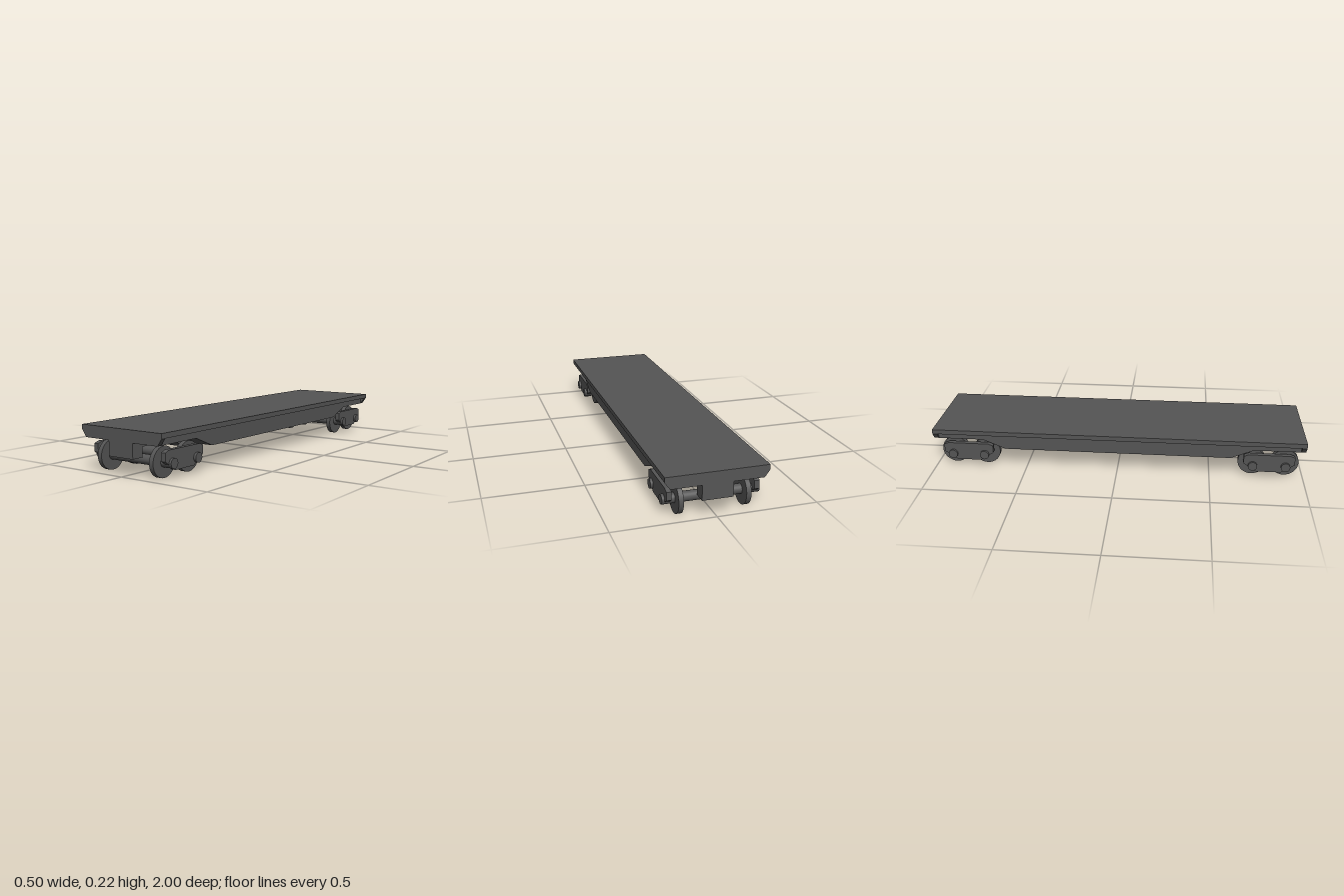
import * as THREE from 'three';

const steel = new THREE.MeshStandardMaterial({ color: 0x555555 });
steel.name = 'darkSteel';

function add(parent, name, geometry, x = 0, y = 0, z = 0) {
  const mesh = new THREE.Mesh(geometry, steel);
  mesh.name = name;
  mesh.position.set(x, y, z);
  parent.add(mesh);
  return mesh;
}

// Extrudes half an outline, mirrored about the vertical axis, and centres its depth
function symmetricPlate(half, depth) {
  const mirrored = half.map(([u, v]) => [-u, v]).reverse();
  const shape = new THREE.Shape([...half, ...mirrored].map(([u, v]) => new THREE.Vector2(u, v)));
  return new THREE.ExtrudeGeometry(shape, { depth, bevelEnabled: false }).translate(0, 0, -depth / 2);
}

// Same, with the outline lying along the length of the wagon
const lengthwise = (half, width) => symmetricPlate(half, width).rotateY(Math.PI / 2);

function createBogie() {
  const bogie = new THREE.Group();
  const frame = lengthwise(
    [[0.065, 0.04], [0.135, 0.087], [0.135, 0.128], [0.11, 0.138]], 0.025);
  const wheel = new THREE.CylinderGeometry(0.075, 0.075, 0.024, 32).rotateZ(Math.PI / 2);
  const axle = new THREE.CylinderGeometry(0.0245, 0.0245, 0.476, 24).rotateZ(Math.PI / 2);
  for (const z of [-0.087, 0.087]) {
    add(bogie, 'axle', axle, 0, 0.075, z);
    for (const side of [-1, 1]) add(bogie, 'wheel', wheel, side * 0.163, 0.075, z);
  }
  for (const side of [-1, 1]) add(bogie, 'sideFrame', frame, side * 0.2125, 0, 0);
  return bogie;
}

export function createModel() {
  const wagon = new THREE.Group();
  wagon.name = 'flatWagon';

  // Flat load deck
  add(wagon, 'deck', new THREE.BoxGeometry(0.5, 0.025, 2), 0, 0.2125, 0);

  // Underframe, deeper between the bogies
  add(wagon, 'underframe', lengthwise(
    [[0.61, 0.115], [0.73, 0.165], [0.975, 0.165], [0.975, 0.2]], 0.45));

  // Centre sill, following the same belly a little lower
  add(wagon, 'centreSill', lengthwise(
    [[0.61, 0.09], [0.73, 0.14], [0.975, 0.14], [0.975, 0.19]], 0.15));

  const endPlate = symmetricPlate(
    [[0.075, 0.09], [0.075, 0.165], [0.225, 0.165], [0.25, 0.2]], 0.025);
  for (const end of [-1, 1]) {
    // Tapered end plate with its hanging centre tab
    add(wagon, 'endPlate', endPlate, 0, 0, end * 0.9875);
    // Coupler pocket behind the tab
    add(wagon, 'couplerPocket', new THREE.BoxGeometry(0.15, 0.06, 0.04), 0, 0.12, end * 0.955);

    const bogie = createBogie();
    bogie.name = end > 0 ? 'frontBogie' : 'rearBogie';
    bogie.position.z = end * 0.814;
    wagon.add(bogie);
  }
  return wagon;
}
